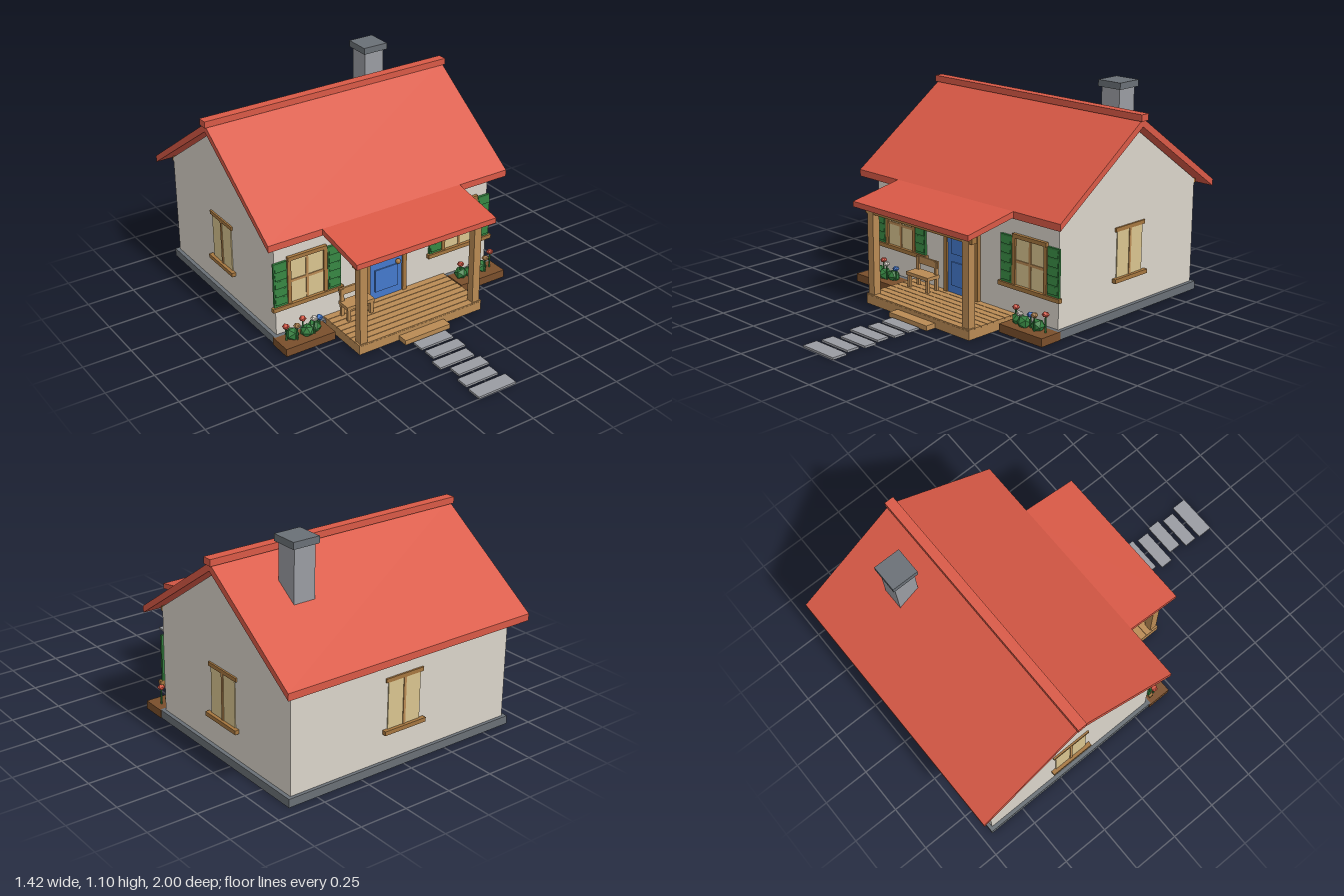
import * as THREE from 'three';

const mat = (name, color, flatShading = false) => {
  const m = new THREE.MeshStandardMaterial({ color });
  m.name = name;
  m.flatShading = flatShading;
  return m;
};

export function createModel() {
  const plaster = mat('plaster', 0xdad4ca);
  const red = mat('roofRed', 0xd95946, true);
  const stone = mat('stoneGrey', 0x9a9ca2);
  const darkStone = mat('darkStone', 0x6a7076);
  const wood = mat('wood', 0xba8b54);
  const trim = mat('trimWood', 0xa5763f);
  const soil = mat('planterBrown', 0x7a4f2b);
  const green = mat('green', 0x34803f, true);
  const blue = mat('doorBlue', 0x4479cc, true);
  const glass = mat('warmGlass', 0xd9c48f);

  const house = new THREE.Group();
  house.name = 'cottage';

  const add = (parent, name, geo, material, x = 0, y = 0, z = 0) => {
    const m = new THREE.Mesh(geo, material);
    m.name = name;
    m.position.set(x, y, z);
    parent.add(m);
    return m;
  };
  // Box given by its limits on each axis
  const box = (parent, name, material, [x0, x1], [y0, y1], [z0, z1]) =>
    add(parent, name, new THREE.BoxGeometry(x1 - x0, y1 - y0, z1 - z0), material,
      (x0 + x1) / 2, (y0 + y1) / 2, (z0 + z1) / 2);
  // Side outline of [z, y] points, extruded across the width of the house
  const profile = (name, material, points, half) => {
    const shape = new THREE.Shape(points.map(([z, y]) => new THREE.Vector2(z, y)));
    const geo = new THREE.ExtrudeGeometry(shape, { depth: half * 2, bevelEnabled: false });
    geo.rotateY(-Math.PI / 2).translate(half, 0, 0);
    return add(house, name, geo, material);
  };
  const group = (name, x = 0, y = 0, z = 0) => {
    const g = new THREE.Group();
    g.name = name;
    g.position.set(x, y, z);
    house.add(g);
    return g;
  };

  // Foundation, walls and roof
  const mid = -0.425, front = 0.08, back = -0.93;
  box(house, 'foundation', darkStone, [-0.655, 0.655], [0, 0.042], [-0.947, 0.1]);
  profile('walls', plaster,
    [[front, 0.04], [front, 0.588], [mid, 0.94], [back, 0.588], [back, 0.04]], 0.635);
  profile('mainRoof', red,
    [[0.148, 0.55], [0.148, 0.585], [mid, 0.985], [-1, 0.585], [-1, 0.55], [mid, 0.945]], 0.7);
  box(house, 'ridgeCap', red, [-0.71, 0.71], [0.975, 1.008], [-0.45, -0.4]);
  box(house, 'frontEaveTrim', trim, [-0.635, 0.635], [0.565, 0.587], [front, front + 0.012]);
  box(house, 'backEaveTrim', trim, [-0.635, 0.635], [0.565, 0.587], [back - 0.012, back]);

  // Chimney
  box(house, 'chimney', stone, [0.318, 0.432], [0.75, 1.07], [-0.682, -0.568]);
  box(house, 'chimneyCap', darkStone, [0.305, 0.446], [1.068, 1.102], [-0.695, -0.555]);

  // Porch deck with planks, step, posts, beam and roof
  box(house, 'deckBase', wood, [-0.365, 0.365], [0, 0.046], [front, 0.4]);
  for (let i = 0; i < 8; i++) {
    const z = front + i * 0.04;
    box(house, 'deckPlank', wood, [-0.366, 0.366], [0.046, 0.053], [z + 0.002, z + 0.039]);
  }
  box(house, 'porchStep', wood, [-0.135, 0.133], [0, 0.026], [0.395, 0.455]);
  for (const s of [-1, 1]) {
    box(house, 'porchPost', wood, [s * 0.336 - 0.021, s * 0.336 + 0.021], [0.05, 0.505], [0.353, 0.394]);
  }
  box(house, 'porchBeam', trim, [-0.375, 0.375], [0.469, 0.508], [0.357, 0.39]);
  profile('porchRoof', red, [[0.443, 0.503], [0.443, 0.531], [0.09, 0.596], [0.09, 0.565]], 0.405);

  // Door with frame, panels and knob
  const door = group('door', 0, 0, front);
  box(door, 'doorLeaf', blue, [-0.1, 0.095], [0.053, 0.43], [0, 0.012]);
  box(door, 'upperPanel', blue, [-0.07, 0.067], [0.26, 0.382], [0.012, 0.018]);
  box(door, 'lowerPanel', blue, [-0.07, 0.067], [0.094, 0.218], [0.012, 0.018]);
  for (const x of [-0.123, 0.097]) box(door, 'doorJamb', trim, [x, x + 0.023], [0.053, 0.432], [0, 0.02]);
  box(door, 'doorLintel', trim, [-0.127, 0.124], [0.43, 0.456], [0, 0.025]);
  add(door, 'doorKnob', new THREE.SphereGeometry(0.014, 12, 8), trim, 0.064, 0.235, 0.024);

  // Window facing local +z, on the wall surface
  const makeWindow = (name, x, z, turn, sillHalf, full) => {
    const w = group(name, x, 0, z);
    w.rotation.y = turn;
    box(w, 'glass', glass, [-0.094, 0.094], [0.2, 0.438], [0, 0.005]);
    box(w, 'lintel', trim, [-0.109, 0.109], [0.436, 0.456], [0, full ? 0.018 : 0.009]);
    box(w, 'sill', trim, [-sillHalf, sillHalf], [0.181, 0.202], [0, 0.022]);
    box(w, 'mullion', wood, [-0.007, 0.007], [0.2, 0.438], [0, 0.009]);
    if (!full) return;
    box(w, 'crossBar', wood, [-0.094, 0.094], [0.313, 0.327], [0, 0.009]);
    for (const s of [-1, 1]) {
      box(w, 'sideFrame', trim, [s * 0.102 - 0.01, s * 0.102 + 0.01], [0.2, 0.438], [0, 0.014]);
      const c = s * 0.152;
      box(w, 'shutter', green, [c - 0.037, c + 0.037], [0.202, 0.44], [0, 0.012]);
      for (let i = 0; i < 5; i++) {
        const slat = box(w, 'shutterSlat', green, [c - 0.03, c + 0.03],
          [0.214 + i * 0.045, 0.25 + i * 0.045], [0.007, 0.015]);
        slat.rotation.x = -0.15;
      }
    }
  };
  makeWindow('frontLeftWindow', 0.457, front, 0, 0.2, true);
  makeWindow('frontRightWindow', -0.457, front, 0, 0.2, true);
  makeWindow('leftWindow', 0.635, mid, Math.PI / 2, 0.12, false);
  makeWindow('rightWindow', -0.635, mid, -Math.PI / 2, 0.12, false);
  makeWindow('backWindow', 0, back, Math.PI, 0.12, false);

  // Chair on the porch
  const chair = group('chair', -0.219, 0.053, 0);
  box(chair, 'seat', wood, [-0.08, 0.08], [0.064, 0.082], [0.115, 0.195]);
  box(chair, 'backRail', wood, [-0.079, 0.079], [0.115, 0.153], [0.116, 0.127]);
  for (const s of [-1, 1]) {
    const x = [s * 0.066 - 0.009, s * 0.066 + 0.009];
    box(chair, 'backLeg', wood, x, [0, 0.15], [0.117, 0.131]);
    box(chair, 'frontLeg', wood, x, [0, 0.066], [0.176, 0.19]);
  }

  // Flower beds: [x from bed centre, head height, colour]
  const beds = [
    [-0.523, [[-0.097, 0.12, red], [-0.049, 0.12, wood], [-0.003, 0.132, red], [0.047, 0.127, plaster], [0.092, 0.106, blue]]],
    [0.521, [[-0.094, 0.12, red], [-0.047, 0.106, plaster], [0.001, 0.106, blue], [0.047, 0.122, wood], [0.096, 0.132, red]]],
  ];
  for (const [x, flowers] of beds) {
    const bed = group('flowerBed', x, 0, 0);
    box(bed, 'planter', soil, [-0.138, 0.138], [0, 0.042], [0.09, 0.218]);
    [-0.04, 0.035, 0.085].forEach((bx, i) => {
      const bush = add(bed, 'bush', new THREE.IcosahedronGeometry(0.036, 0), green,
        x < 0 ? bx - 0.02 : -bx, 0.06, i === 1 ? 0.155 : 0.14);
      bush.rotation.y = i;
    });
    flowers.forEach(([fx, fy, color], i) => {
      const fz = i % 2 ? 0.172 : 0.148;
      add(bed, 'stem', new THREE.CylinderGeometry(0.004, 0.005, fy - 0.035, 5), green, fx, (fy + 0.035) / 2, fz);
      add(bed, 'flowerHead', new THREE.IcosahedronGeometry(0.019, 0), color, fx, fy, fz).scale.y = 0.75;
    });
  }

  // Stepping stones: left and right limits
  [[-0.098, 0.093], [-0.095, 0.097], [-0.119, 0.082], [-0.08, 0.098], [-0.106, 0.082], [-0.112, 0.104]]
    .forEach((limits, i) => {
      const z = 0.467 + i * 0.0932 * 0.973;
      box(house, 'steppingStone', stone, limits, [0, 0.011], [z, i === 5 ? 1 : z + 0.067]);
    });

  return house;
}
